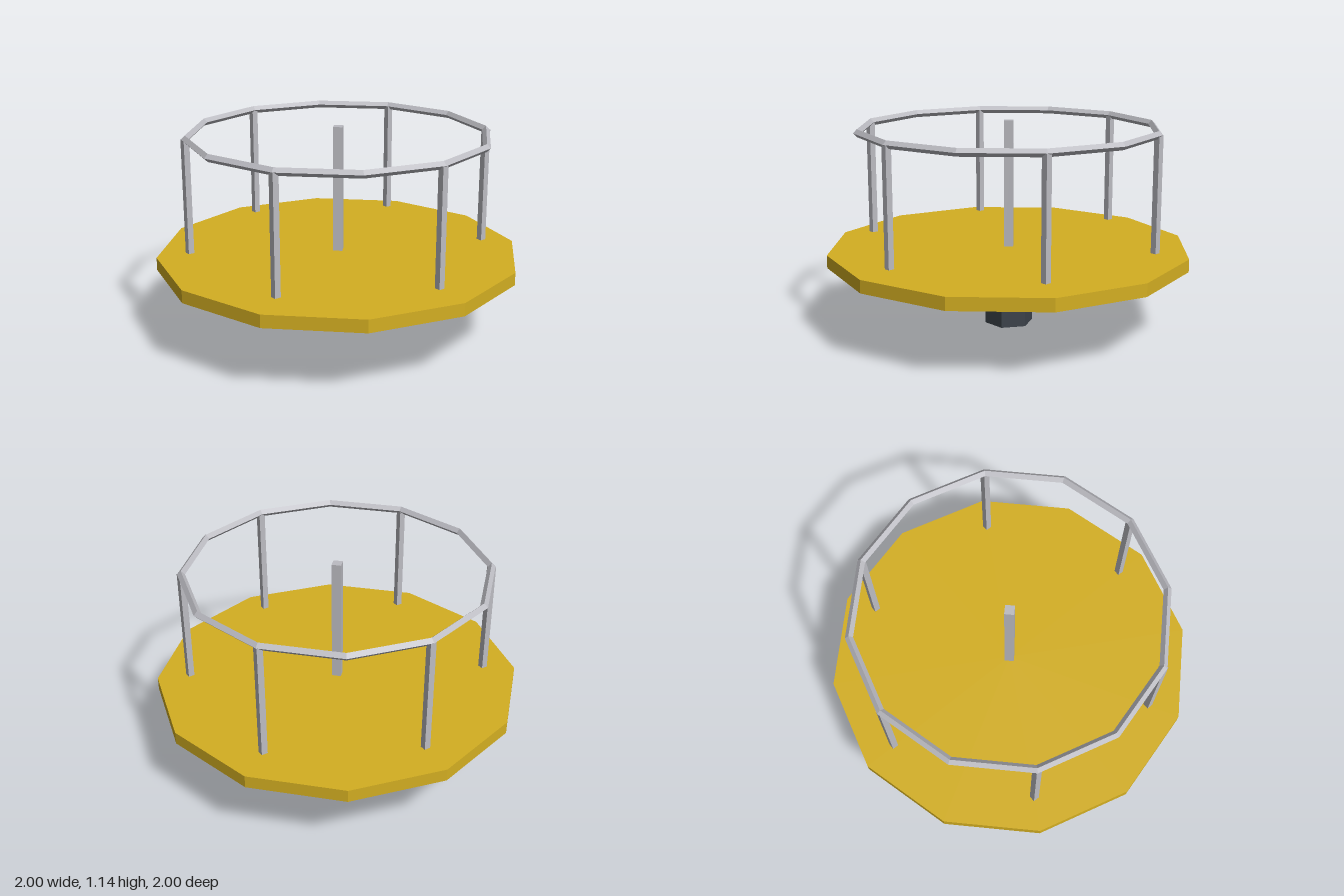
import * as THREE from 'three';

export function createModel() {
  const group = new THREE.Group();
  const material = (name, color) => {
    const m = new THREE.MeshStandardMaterial({ color, flatShading: true });
    m.name = name;
    return m;
  };
  const yellow = material('yellow paint', 0xd4af22);
  const steel = material('steel', 0xbcbcc2);
  const dark = material('dark metal', 0x3c434b);

  const add = (name, geometry, mat, x, y, z) => {
    const mesh = new THREE.Mesh(geometry, mat);
    mesh.name = name;
    mesh.position.set(x, y, z);
    group.add(mesh);
    return mesh;
  };
  // Upright prism between two heights
  const prism = (name, radius, sides, bottom, top, mat) =>
    add(name, new THREE.CylinderGeometry(radius, radius, top - bottom, sides), mat, 0, (bottom + top) / 2, 0);

  prism('pedestal', 0.135, 6, 0, 0.37, dark);
  prism('platform', 1, 12, 0.37, 0.44, yellow);
  prism('centrePole', 0.036, 4, 0.44, 1.14, steel);

  // Handrail with a diamond section
  const rail = add('handrail', new THREE.TorusGeometry(0.818, 0.021, 4, 12), steel, 0, 1.095, 0);
  rail.rotation.x = Math.PI / 2;

  // Six square posts under the rail
  const postGeometry = new THREE.BoxGeometry(0.034, 0.635, 0.034);
  for (let i = 0; i < 6; i++) {
    const a = (i * Math.PI) / 3;
    add('railPost' + (i + 1), postGeometry, steel, 0.818 * Math.cos(a), 0.7775, 0.818 * Math.sin(a));
  }
  return group;
}
